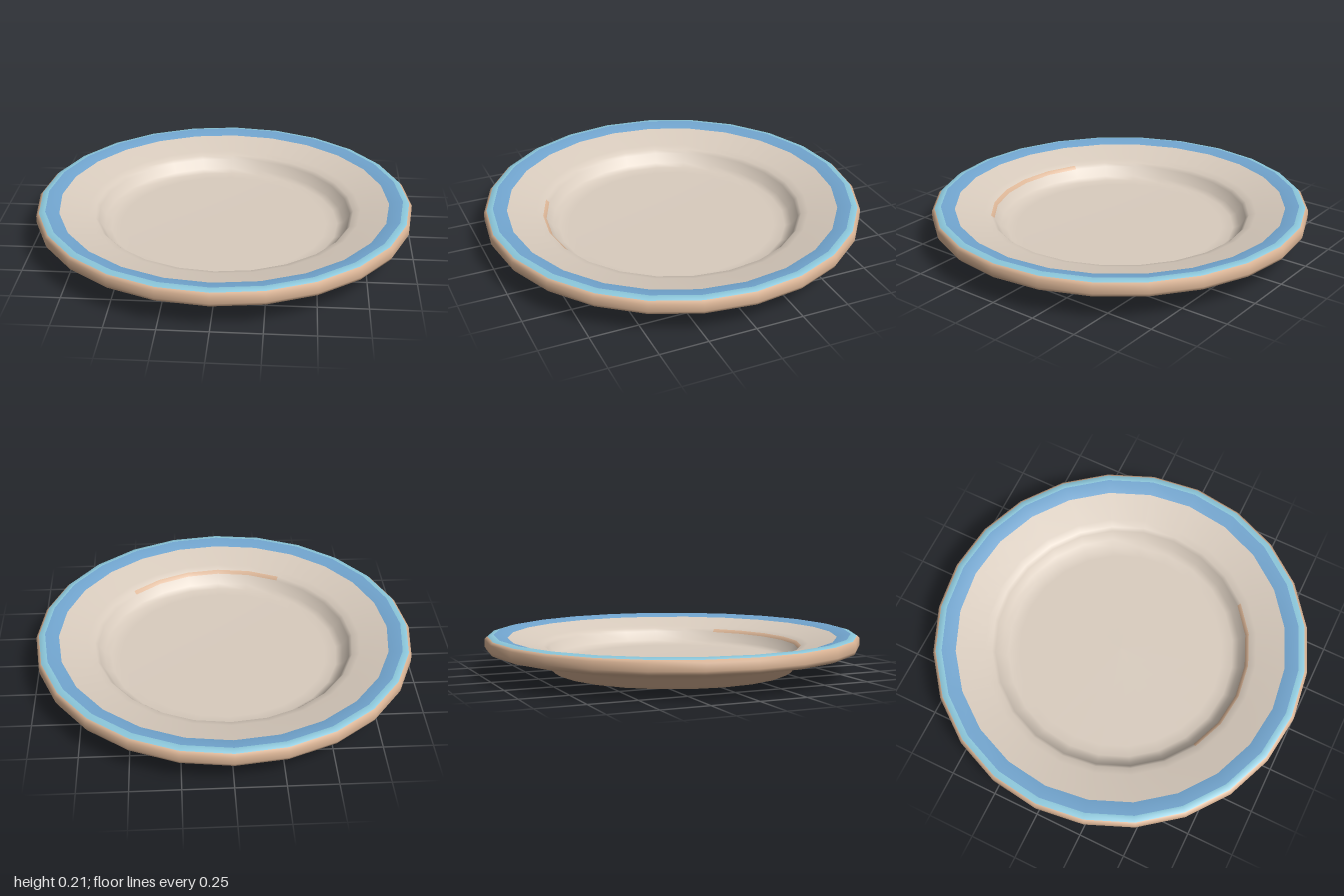
import * as THREE from 'three';

const SIDES = 24;

// Closed plate section from the foot's centre, round the rim, to the well's centre.
// Each entry: radius, height, part that starts at this point.
const SECTION = [
  [0, 0, 'underside'],
  [0.6, 0, 'underside'],
  [0.635, 0.006, 'underside'],
  [0.66, 0.022, 'underside'],
  [0.69, 0.06, 'underside'],
  [0.72, 0.08, 'underside'],
  [0.76, 0.088, 'underside'],
  [0.97, 0.123, 'underside'],
  [0.992, 0.133, 'underside'],
  [1, 0.15, 'underside'],
  [1, 0.188, 'underside'],
  [0.985, 0.202, 'rimEdge'],
  [0.952, 0.21, 'rimBand'],
  [0.88, 0.193, 'innerSurface'],
  [0.73, 0.156, 'innerSurface'],
  [0.692, 0.145, 'wellLip'],
  [0.675, 0.128, 'innerSurface'],
  [0.645, 0.08, 'innerSurface'],
  [0.61, 0.065, 'innerSurface'],
  [0.55, 0.06, 'innerSurface'],
  [0, 0.06, null],
];

export function createModel() {
  const material = (name, color) => {
    const m = new THREE.MeshStandardMaterial({ color });
    m.name = name;
    return m;
  };
  const cream = material('cream glaze', 0xd9ccbe);
  const clay = material('warm clay', 0xdbb596);
  const blue = material('blue glaze', 0x72a6d0);
  const paleBlue = material('pale blue glaze', 0x8cc8dc);

  const points = SECTION.map(([r, y]) => new THREE.Vector2(r, y));
  const lathe = new THREE.LatheGeometry(points, SIDES);
  const bands = points.length - 1;

  // Sort the turned surface into parts, keeping the shared smooth normals.
  const parts = { underside: [], rimEdge: [], rimBand: [], innerSurface: [], wellLip: [] };
  for (let side = 0; side < SIDES; side++) {
    for (let band = 0; band < bands; band++) {
      let part = SECTION[band][2];
      // Bare clay shows only along the front of the well's lip
      if (part === 'wellLip' && side > 2 && side < SIDES - 2) part = 'innerSurface';
      const start = (side * bands + band) * 6;
      for (let k = 0; k < 6; k++) parts[part].push(lathe.index.getX(start + k));
    }
  }

  const materials = {
    underside: clay, rimEdge: paleBlue, rimBand: blue, innerSurface: cream, wellLip: clay,
  };
  const plate = new THREE.Group();
  plate.name = 'plate';
  for (const [name, index] of Object.entries(parts)) {
    const geometry = lathe.clone().setIndex(index);
    const mesh = new THREE.Mesh(geometry, materials[name]);
    mesh.name = name;
    plate.add(mesh);
  }
  return plate;
}
